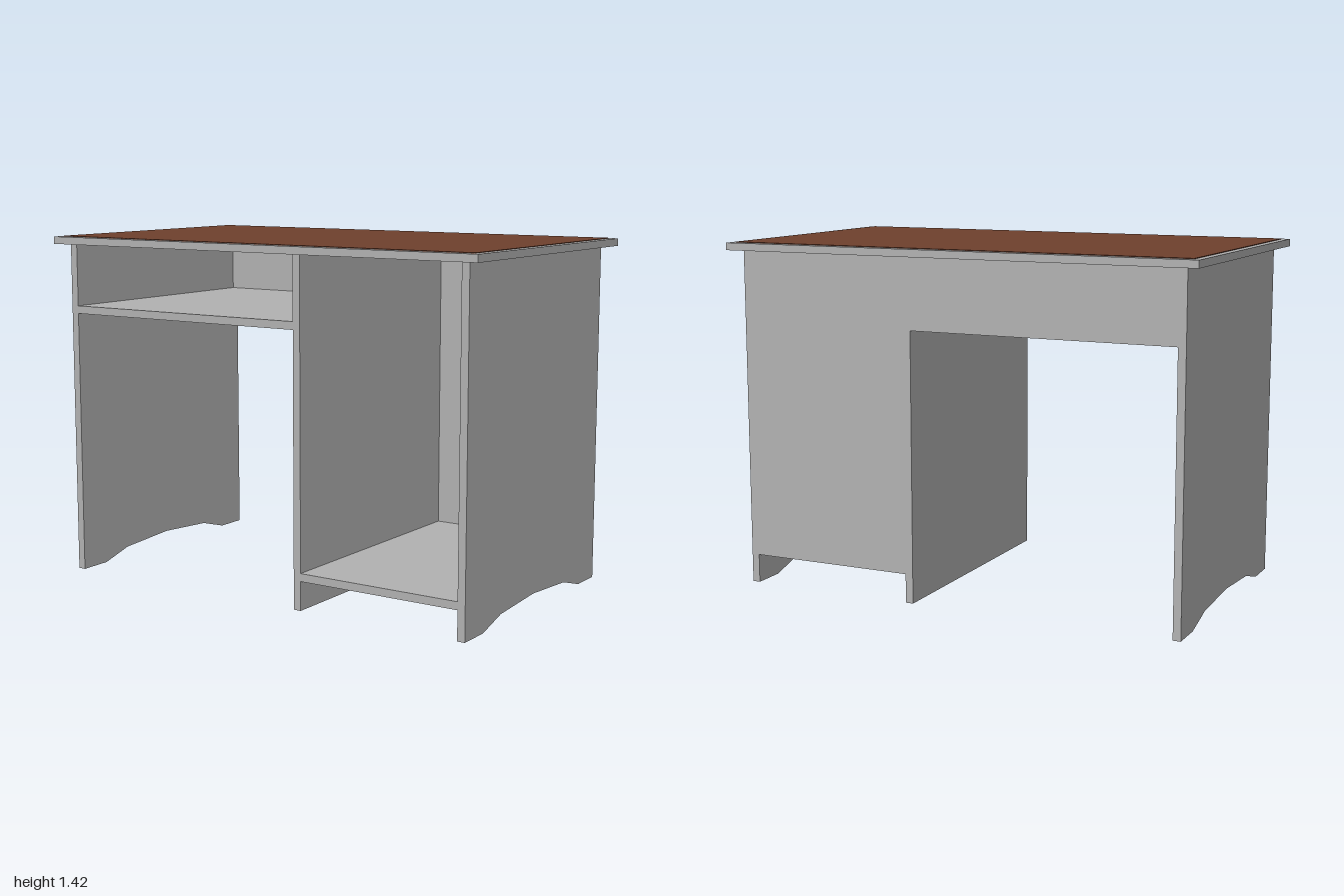
import * as THREE from 'three';

export function createModel() {
  const desk = new THREE.Group();
  desk.name = 'desk';

  const grey = new THREE.MeshStandardMaterial({ color: 0xb3b3b3 });
  grey.name = 'grey board';
  const brown = new THREE.MeshStandardMaterial({ color: 0x70412e });
  brown.name = 'brown writing surface';

  const T = 0.032;       // board thickness
  const DEPTH = 0.547;   // half depth of the carcass
  const UNDER = 1.387;   // underside of the desktop
  const OUTER = 0.945;   // outer face of the side panels
  const MID = [0.183, 0.215];

  function add(name, geometry, material = grey) {
    const mesh = new THREE.Mesh(geometry, material);
    mesh.name = name;
    desk.add(mesh);
    return mesh;
  }

  // Board given by its limits on each axis
  function board(name, [x0, x1], [y0, y1], [z0, z1], material) {
    const mesh = add(name, new THREE.BoxGeometry(x1 - x0, y1 - y0, z1 - z0), material);
    mesh.position.set((x0 + x1) / 2, (y0 + y1) / 2, (z0 + z1) / 2);
  }

  // Side panels with a faceted arch cut into the foot
  const outline = [
    [-DEPTH, 0], [-0.41, 0], [-0.27, 0.04], [0, 0.057], [0.27, 0.04], [0.41, 0],
    [DEPTH, 0], [DEPTH, UNDER], [-DEPTH, UNDER],
  ].map(([z, y]) => new THREE.Vector2(z, y));
  const sideGeometry = new THREE.ExtrudeGeometry(new THREE.Shape(outline), { depth: T, bevelEnabled: false });
  sideGeometry.rotateY(Math.PI / 2);
  add('rightSidePanel', sideGeometry).position.x = -OUTER;
  add('leftSidePanel', sideGeometry).position.x = OUTER - T;

  // Straight divider between knee space and cabinet
  board('dividerPanel', MID, [0, UNDER], [-DEPTH, DEPTH]);

  // Shelf and back of each bay, open at the front
  const bays = [
    ['kneeSpace', [-OUTER + T, MID[0]], 1.098],
    ['cabinet', [MID[1], OUTER - T], 0.118],
  ];
  for (const [name, span, y] of bays) {
    board(name + 'Shelf', span, [y, y + T], [-DEPTH, DEPTH]);
    board(name + 'Back', span, [y + T, UNDER], [-DEPTH, -DEPTH + T]);
  }

  // Desktop with a thin inlaid writing surface
  board('desktop', [-1, 1], [UNDER, 1.417], [-0.59, 0.59]);
  board('writingSurface', [-0.972, 0.972], [1.414, 1.42], [-0.558, 0.558], brown);

  return desk;
}
